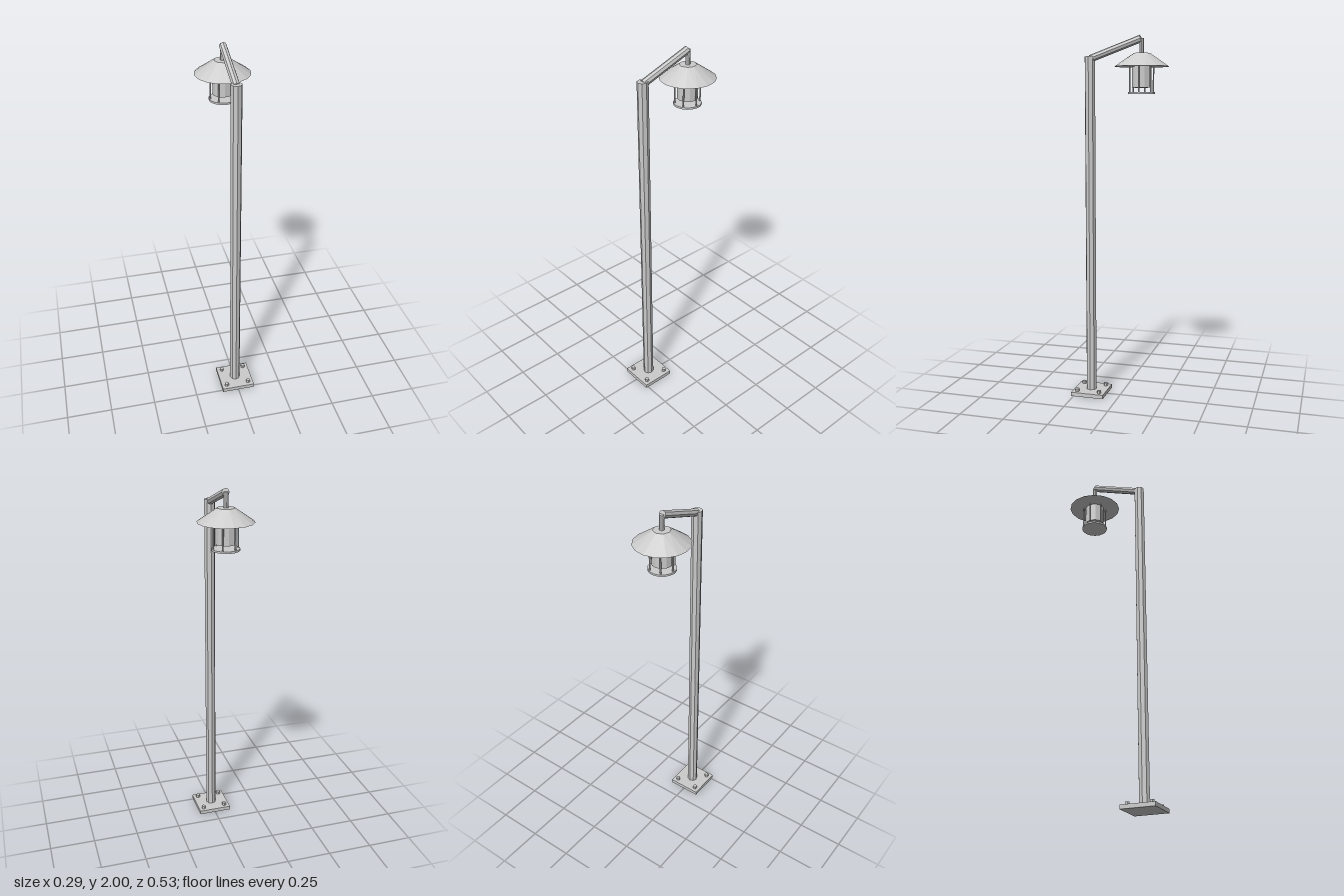
import * as THREE from 'three';

const POST_Z = 0.17, LAMP_Z = -0.119;

export function createModel() {
  const lampPost = new THREE.Group();
  lampPost.name = 'lampPost';
  const metal = new THREE.MeshStandardMaterial({ color: 0xcccccc, flatShading: true });

  const add = (parent, name, geometry, x = 0, y = 0, z = 0) => {
    const mesh = new THREE.Mesh(geometry, metal);
    mesh.name = name;
    mesh.position.set(x, y, z);
    parent.add(mesh);
    return mesh;
  };

  // Upright or slanted bar between two points
  const bar = (parent, name, from, to, radius, sides) => {
    const a = new THREE.Vector3(...from), b = new THREE.Vector3(...to);
    const dir = b.clone().sub(a);
    const mesh = add(parent, name, new THREE.CylinderGeometry(radius, radius, dir.length(), sides));
    mesh.position.copy(a).add(b).multiplyScalar(0.5);
    mesh.quaternion.setFromUnitVectors(new THREE.Vector3(0, 1, 0), dir.normalize());
    return mesh;
  };

  // Base plate with a bolt in each corner
  add(lampPost, 'basePlate', new THREE.BoxGeometry(0.187, 0.022, 0.187), 0, 0.011, POST_Z);
  for (const sx of [-1, 1]) for (const sz of [-1, 1]) {
    bar(lampPost, 'bolt', [sx * 0.065, 0.015, POST_Z + sz * 0.065],
      [sx * 0.065, 0.038, POST_Z + sz * 0.065], 0.012, 6);
  }

  // Post and slanted arm
  bar(lampPost, 'post', [0, 0.02, POST_Z], [0, 1.892, POST_Z], 0.029, 8);
  bar(lampPost, 'arm', [0, 1.88, 0.167], [0, 1.981, -0.114], 0.02, 8);

  // Hanging lantern
  const lantern = new THREE.Group();
  lantern.name = 'lantern';
  lantern.position.z = LAMP_Z;
  lampPost.add(lantern);
  bar(lantern, 'hanger', [0, 1.89, 0], [0, 1.982, 0], 0.0125, 8);

  // Shade: sixteen sides at the rim, merging in pairs to eight at the top
  const shade = new THREE.CylinderGeometry(0.045, 0.146, 0.07, 16);
  const p = shade.attributes.position;
  for (let i = 0; i < p.count; i++) {
    if (p.getY(i) < 0 || Math.hypot(p.getX(i), p.getZ(i)) < 0.01) continue;
    const step = Math.PI / 4;
    const angle = Math.floor(Math.atan2(p.getX(i), p.getZ(i)) / step + 0.01) * step;
    p.setX(i, 0.045 * Math.sin(angle));
    p.setZ(i, 0.045 * Math.cos(angle));
  }
  add(lantern, 'shade', shade, 0, 1.87, 0);

  // Lamp body, bottom disc and the six rods that carry it
  bar(lantern, 'lampBody', [0, 1.725, 0], [0, 1.84, 0], 0.054, 12);
  bar(lantern, 'bottomDisc', [0, 1.692, 0], [0, 1.702, 0], 0.073, 16);
  for (let i = 0; i < 6; i++) {
    const a = i * Math.PI / 3, x = 0.065 * Math.cos(a), z = 0.065 * Math.sin(a);
    bar(lantern, 'rod', [x, 1.697, z], [x, 1.84, z], 0.004, 6);
  }
  return lampPost;
}
